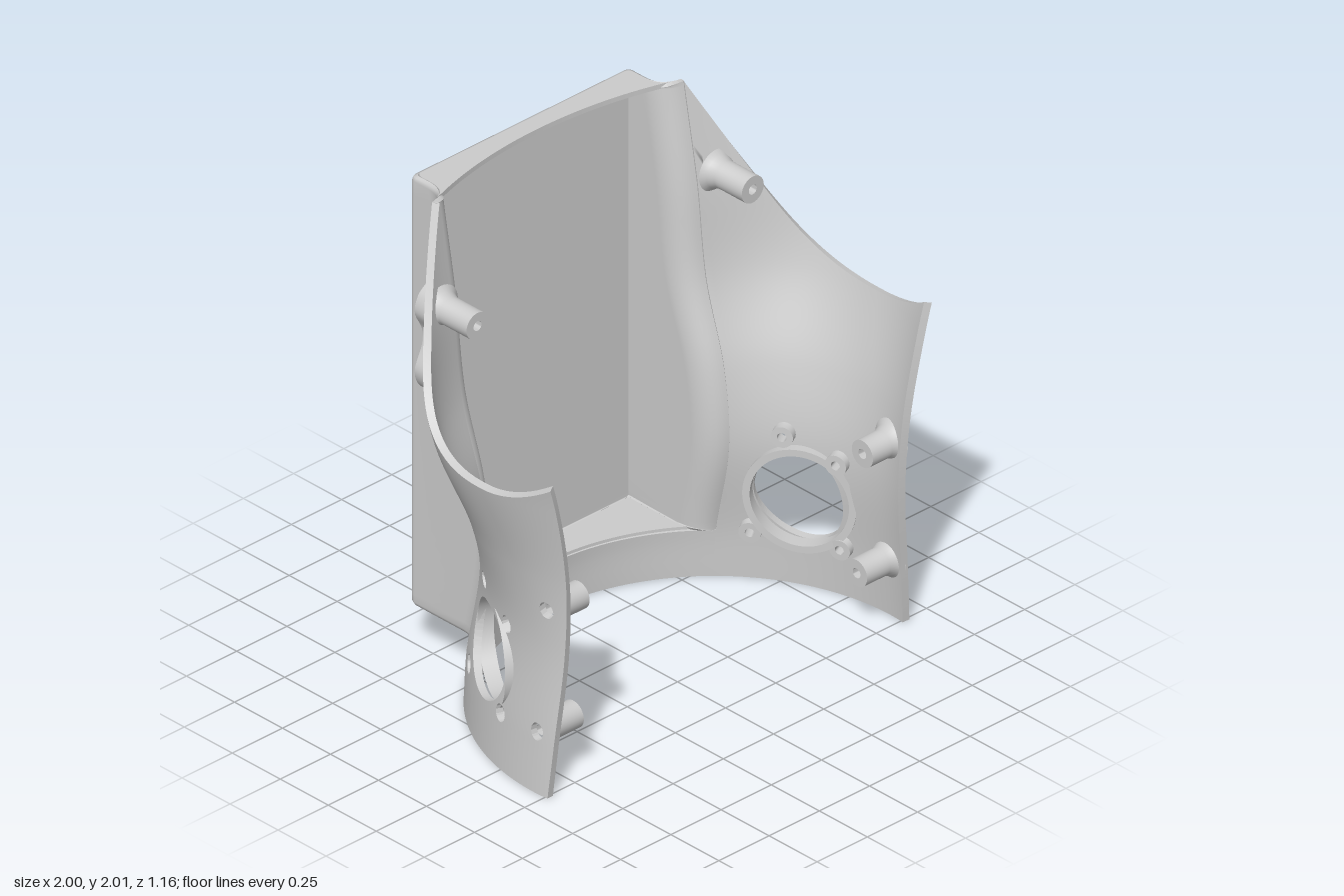
import * as THREE from 'three';
import { toCreasedNormals } from 'three/addons/utils/BufferGeometryUtils.js';

const material = new THREE.MeshStandardMaterial({ color: 0xcccccc });
const WALL = 0.03, JOIN = 0.62;

// Shell sections: height, half width, centre z, depth behind centre, roundness, front edge z
const ROWS = [
  [0, 0.905, 0.445, 0.905, 2, 0.515],
  [0.2, 0.89, 0.438, 0.888, 2, 0.527],
  [0.6, 0.863, 0.42, 0.79, 2, 0.55],
  [0.9, 0.9, 0.35, 0.67, 2.2, 0.567],
  [1.24, 1.0, 0.27, 0.62, 2.5, 0.58],
  [1.6, 1.1, 0.27, 0.67, 2.25, 0.58],
  [2, 1.196, 0.27, 0.76, 2, 0.58],
];

// Smooth interpolation of the sections
function section(y) {
  const last = ROWS.length - 1;
  let k = 0;
  while (k < last - 1 && y > ROWS[k + 1][0]) k++;
  const h = ROWS[k + 1][0] - ROWS[k][0], t = (y - ROWS[k][0]) / h;
  const slope = (i, c) => {
    const p = ROWS[Math.max(i - 1, 0)], q = ROWS[Math.min(i + 1, last)];
    return (q[c] - p[c]) / (q[0] - p[0]);
  };
  const [a, zc, b, p, zf] = [1, 2, 3, 4, 5].map((c) =>
    (2 * t ** 3 - 3 * t ** 2 + 1) * ROWS[k][c] + (t ** 3 - 2 * t ** 2 + t) * h * slope(k, c) +
    (3 * t ** 2 - 2 * t ** 3) * ROWS[k + 1][c] + (t ** 3 - t ** 2) * h * slope(k + 1, c));
  return { a, zc, b, p, zf };
}
function shellX(z, y) {
  const { a, zc, b, p } = section(y);
  if (z < zc) return a * Math.max(0, 1 - ((zc - z) / b) ** p) ** (1 / p);
  return a * Math.sqrt(1 - ((z - zc) / (0.8 * a)) ** 2);
}
function shellZ(x, y) {
  const { a, zc, b, p } = section(y);
  return zc - b * (1 - (Math.abs(x) / a) ** p) ** (1 / p);
}
function shellNormal(z, y) {
  const e = 0.005;
  return new THREE.Vector3(1,
    -(shellX(z, y + e) - shellX(z, y - e)) / (2 * e),
    -(shellX(z + e, y) - shellX(z - e, y)) / (2 * e)).normalize();
}

// Thick sheet over a grid; snap() may pull points onto a hole rim
function sheet(nu, nv, at, thick, flip = false, snap = null) {
  const n = (nu + 1) * (nv + 1), raw = [], cells = [], index = [];
  for (let j = 0; j <= nv; j++) for (let i = 0; i <= nu; i++) raw.push(at(i, j));
  const inside = raw.map(() => false);
  for (let j = 0; j < nv; j++) for (let i = 0; i < nu; i++) {
    const a = j * (nu + 1) + i, c = [a, a + 1, a + nu + 2, a + nu + 1];
    cells.push(flip ? c.reverse() : c);
  }
  const full = new THREE.BufferGeometry().setFromPoints(raw);
  full.setIndex(cells.flatMap(([a, b, c, d]) => [a, b, c, a, c, d]));
  full.computeVertexNormals();
  const nor = full.attributes.normal;
  const outer = raw.map((v, i) => {
    const s = snap && snap(v);
    inside[i] = !!s;
    return s || v;
  });
  const inner = outer.map((v, i) =>
    v.clone().addScaledVector(new THREE.Vector3().fromBufferAttribute(nor, i), -thick));
  const points = [...outer, ...inner];
  const kept = cells.filter((c) => !c.every((i) => inside[i]));
  const edges = new Set();
  for (const c of kept) {
    const [p, q, r, s] = c;
    index.push(p, q, r, p, r, s, n + p, n + r, n + q, n + p, n + s, n + r);
    c.forEach((v, k) => edges.add(v * n + c[(k + 1) % 4]));
  }
  // Rim walls along every open edge
  for (const key of edges) {
    const p = Math.floor(key / n), q = key % n;
    if (edges.has(q * n + p)) continue;
    const m = points.length;
    points.push(outer[q], outer[p], inner[p], inner[q]);
    index.push(m, m + 1, m + 2, m, m + 2, m + 3);
  }
  const g = new THREE.BufferGeometry().setFromPoints(points);
  g.setIndex(index);
  g.computeVertexNormals();
  return g;
}

// Rear housing outline at height y, from the left joint round the back to the right
function housingProfile(y, inset) {
  const w = 0.545 - inset, back = -0.575 + inset, r = 0.025, zj = shellZ(JOIN, y);
  const path = new THREE.Path().moveTo(JOIN, zj);
  path.quadraticCurveTo(w + 0.005, zj - 0.015, w, Math.max(zj - 0.1, back + 0.06));
  path.lineTo(w, back + r).quadraticCurveTo(w, back, w - r, back);
  const half = path.getPoints(8);
  return [...half, ...half.map((p) => new THREE.Vector2(-p.x, p.y)).reverse()];
}

// Hollow round post: outer radius, bore, length, base flare
function post(r, bore, length, flare, segments) {
  const pts = [[r + flare, 0], [r + flare * 0.35, flare * 0.6], [r, flare * 1.6],
    [r, length], [bore, length], [bore, 0]];
  const g = new THREE.LatheGeometry(pts.map(([x, y]) => new THREE.Vector2(x, y)), segments);
  return toCreasedNormals(g, 0.7);
}

export function createModel() {
  const model = new THREE.Group();
  const add = (name, geometry) => {
    const mesh = new THREE.Mesh(geometry, material);
    mesh.name = name;
    model.add(mesh);
    return mesh;
  };
  const addPost = (name, geometry, side, base, dir) => {
    const mesh = add(name, geometry);
    mesh.position.set(base.x * side, base.y, base.z);
    mesh.quaternion.setFromUnitVectors(new THREE.Vector3(0, 1, 0),
      new THREE.Vector3(dir.x * side, dir.y, dir.z).normalize());
  };

  // Holes in each side wall: z, y, radius along z, radius along y
  const port = { z: 0.085, y: 0.395, r: 0.187 };
  const lugs = [[0.03, 0.65], [0.235, 0.585], [0.23, 0.22], [-0.095, 0.22]];
  const standoffs = [[0.475, 0.76], [0.445, 0.245]];
  const upper = { x: 0.685, y: 1.64, z: shellZ(0.685, 1.64) };
  const holes = [[port.z, port.y, 0.16, port.r], [upper.z, upper.y, 0.02, 0.035],
    ...[...lugs, ...standoffs].map(([z, y]) => [z, y, 0.031, 0.035])];

  // Side walls, trimmed along a sloping plane
  const NU = 84, NV = 90;
  const zAt = (u, y) => THREE.MathUtils.lerp(shellZ(JOIN, y), section(y).zf, u);
  const tops = Array.from({ length: NU + 1 }, (_, i) => {
    let lo = 0.5, hi = 2;
    for (let k = 0; k < 30; k++) {
      const y = (lo + hi) / 2;
      if (y + 2 * (shellX(zAt(i / NU, y), y) - JOIN) > 2.00001) hi = y; else lo = y;
    }
    return lo;
  });
  for (const side of [1, -1]) {
    const label = side > 0 ? 'left' : 'right';
    const wallPoint = (z, y) => new THREE.Vector3(side * shellX(z, y), y, z);
    const snap = (v) => {
      for (const [z, y, rz, ry] of holes) {
        const dz = v.z - z, dy = v.y - y, e = Math.hypot(dz / rz, dy / ry);
        if (e < 1) return wallPoint(z + dz / Math.max(e, 1e-3), y + dy / Math.max(e, 1e-3));
      }
      return null;
    };
    add(label + 'Wall', sheet(NU, NV, (i, j) => {
      const y = tops[i] * j / NV;
      return wallPoint(zAt(i / NU, y), y);
    }, WALL, side > 0, snap));

    // Port ring and its screw lugs
    const inward = new THREE.Vector3(-0.87, 0, 0.49);
    const at = (z, y, depth, dir) =>
      new THREE.Vector3(shellX(z, y), y, z).addScaledVector(dir, depth);
    addPost(label + 'PortRing', post(0.215, port.r, 0.06, 0, 64), side,
      at(port.z, port.y, 0.015, inward), inward);
    for (const [z, y] of lugs) {
      const dir = shellNormal(z, y).negate().add(inward);
      dir.normalize();
      addPost(label + 'Lug', post(0.042, 0.018, 0.05, 0.004, 24), side, at(z, y, 0.018, dir), dir);
    }

    // Front standoffs, pointing across, and upper posts, pointing forward
    const across = new THREE.Vector3(-1, 0, 0), forward = new THREE.Vector3(0, 0, 1);
    for (const [z, y] of standoffs) {
      const base = at(z, y, 0.018, across);
      addPost(label + 'Standoff', post(0.055, 0.02, base.x - 0.705, 0.03, 32), side, base, across);
    }
    const foot = new THREE.Vector3(upper.x, upper.y, upper.z + 0.025);
    addPost(label + 'UpperPost', post(0.055, 0.02, -0.075 - foot.z, 0.03, 32), side, foot, forward);

    // Wavy strap loop on the housing side
    const wave = new THREE.SplineCurve([[0.55, 1.15], [0.605, 1.19], [0.625, 1.26], [0.59, 1.35],
      [0.59, 1.42], [0.625, 1.5], [0.605, 1.57], [0.55, 1.61]].map((p) => new THREE.Vector2(...p)));
    const wavePts = wave.getPoints(40);
    add(label + 'StrapLoop', sheet(40, 1, (i, j) =>
      new THREE.Vector3(side * wavePts[i].x, wavePts[i].y, -0.465 + 0.07 * j), 0.03, side < 0));
  }

  // Lower back band
  add('lowerBand', sheet(48, 6, (i, j) => {
    const x = JOIN * (i / 24 - 1), y = 0.2 * j / 6;
    return new THREE.Vector3(x, y, shellZ(x, y));
  }, WALL, true));

  // Rear housing wall with softened lower and upper edges
  const levels = [[0.19, 0.02], [0.196, 0.006], [0.21, 0]];
  for (let k = 0; k <= 30; k++) levels.push([0.24 + 1.74 * k / 30, 0]);
  levels.push([1.994, 0.004], [2, 0.015]);
  const rings = levels.map(([y, d]) => housingProfile(y, d).map((p) => new THREE.Vector3(p.x, y, p.y)));
  add('housingWall', sheet(rings[0].length - 1, rings.length - 1, (i, j) => rings[j][i], 0.022));

  // Housing floor and roof, cut to the curve of the shell
  for (const [name, y, lip] of [['housingFloor', 0.19, 0.025], ['housingRoof', 1.98, 0]]) {
    const outline = housingProfile(y, 0.018);
    for (let k = 0; k <= 40; k++) {
      const x = JOIN * (k / 20 - 1);
      outline.push(new THREE.Vector2(x, shellZ(x, y) + lip));
    }
    const shape = new THREE.Shape(outline.map((p) => new THREE.Vector2(p.x, -p.y)));
    const plate = new THREE.ExtrudeGeometry(shape, { depth: 0.02, bevelEnabled: false });
    add(name, plate.rotateX(-Math.PI / 2)).position.y = y;
  }
  return model;
}
